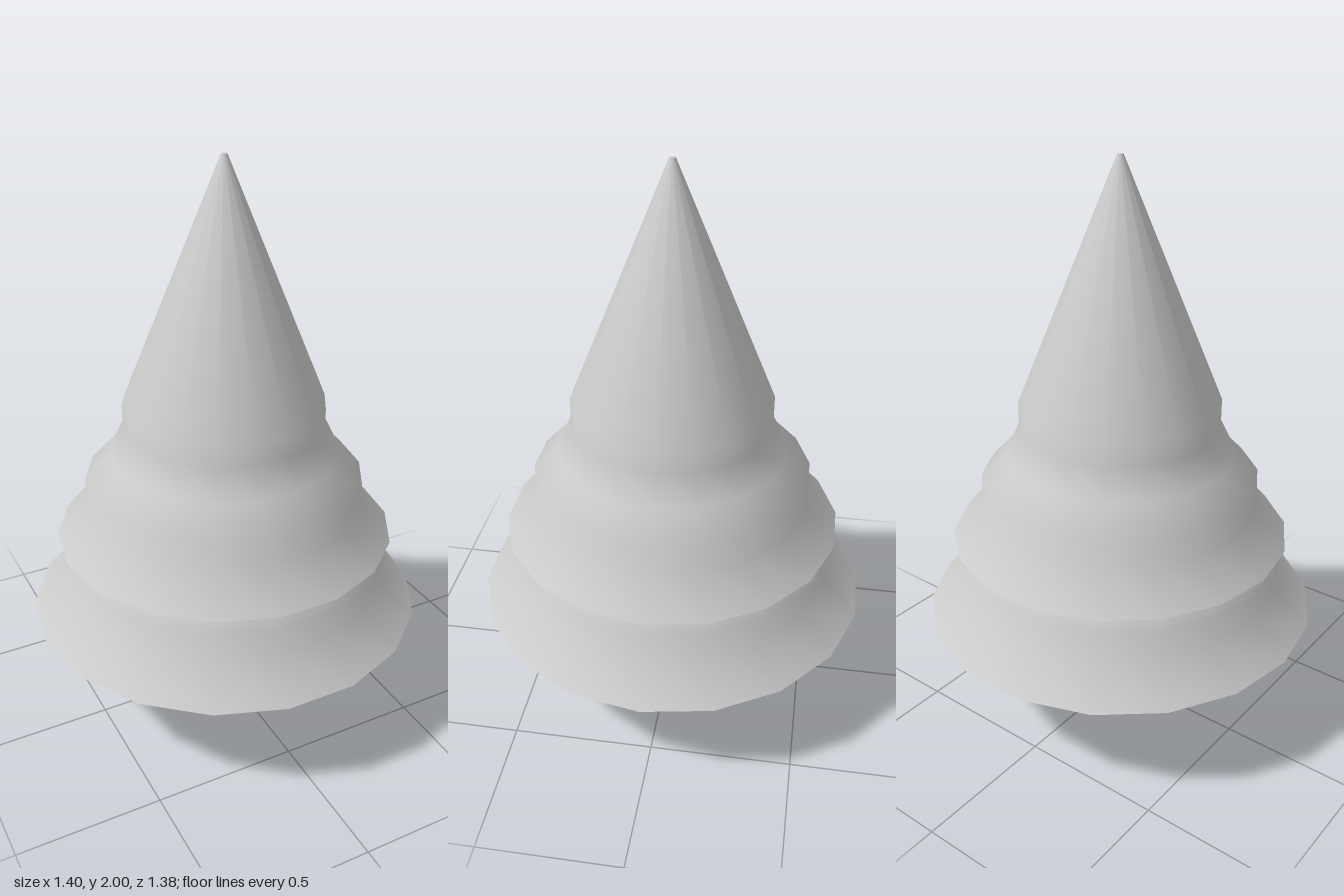
import * as THREE from 'three';
import { mergeGeometries } from 'three/addons/utils/BufferGeometryUtils.js';

const SIDES = 18;
const material = new THREE.MeshStandardMaterial({ color: 0xcccccc });

// Smooth surface of revolution with a corner on the x axis
function lathe(profile) {
  const points = profile.map(([r, y]) => new THREE.Vector2(r, y));
  return new THREE.LatheGeometry(points, SIDES, Math.PI / 2);
}

// Foliage tier: smooth flank with flat, sharp-edged bottom and top
function tier(name, flank) {
  const [rBottom, yBottom] = flank[0];
  const [rTop, yTop] = flank[flank.length - 1];
  const geometry = mergeGeometries([
    lathe([[0, yBottom], [rBottom, yBottom]]),
    lathe(flank),
    lathe([[rTop, yTop], [0, yTop]]),
  ]);
  const mesh = new THREE.Mesh(geometry, material);
  mesh.name = name;
  return mesh;
}

export function createModel() {
  const tree = new THREE.Group();
  tree.name = 'firTree';

  // Trunk, very slightly off centre
  const trunkHeight = 0.4;
  const trunk = new THREE.Mesh(
    new THREE.CylinderGeometry(0.155, 0.155, trunkHeight, SIDES).rotateY(Math.PI / 2),
    material
  );
  trunk.name = 'trunk';
  trunk.position.set(-0.007, trunkHeight / 2, -0.004);
  tree.add(trunk);

  // Lower skirt of branches
  tree.add(tier('lowerFoliage', [
    [0.70, 0.393], [0.575, 0.52], [0.575, 0.61], [0.495, 0.685],
  ]));

  // Upper branches, tapering to the tip
  tree.add(tier('upperFoliage', [
    [0.598, 0.679], [0.488, 0.806], [0.488, 0.897], [0.40, 0.992],
    [0.35, 1.093], [0.35, 1.172], [0.01, 2.0],
  ]));

  return tree;
}
